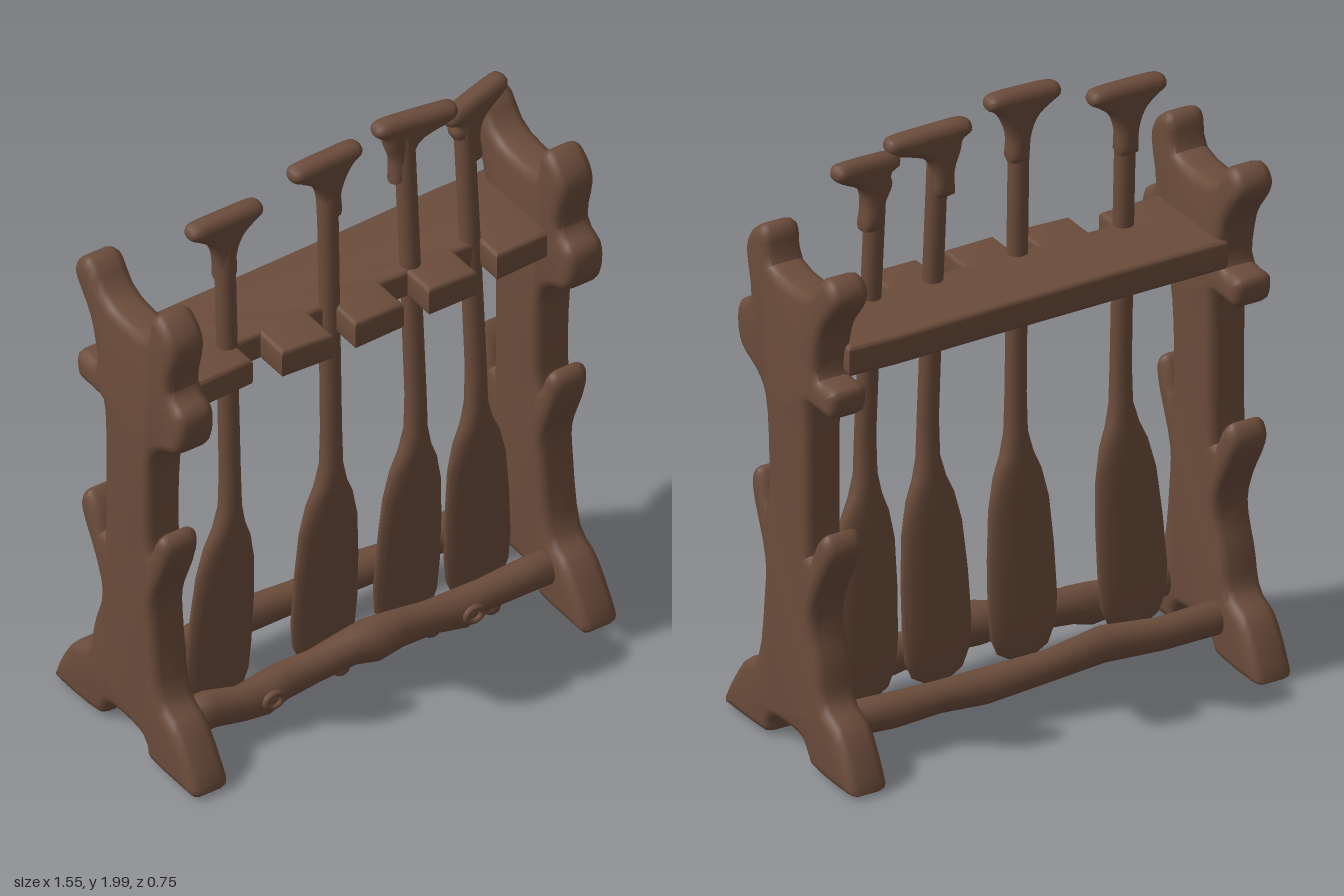
import * as THREE from 'three';
import { toCreasedNormals } from 'three/addons/utils/BufferGeometryUtils.js';

const wood = new THREE.MeshStandardMaterial({ color: 0x6b4c3b });
wood.name = 'brown wood';

function add(parent, geometry, name) {
  const mesh = new THREE.Mesh(geometry, wood);
  mesh.name = name;
  parent.add(mesh);
  return mesh;
}

// Closed outline, extruded with rounded edges and centred on its thickness
function slab(points, thickness, bevel, smooth = true) {
  const v = points.map(([x, y]) => new THREE.Vector2(x, y));
  const shape = new THREE.Shape();
  shape.moveTo(v[0].x, v[0].y);
  if (smooth) shape.splineThru([...v.slice(1), v[0]]);
  else v.slice(1).forEach((p) => shape.lineTo(p.x, p.y));
  const geo = new THREE.ExtrudeGeometry(shape, {
    depth: thickness - 2 * bevel, bevelThickness: bevel, bevelSize: bevel,
    bevelOffset: -bevel, bevelSegments: 3, curveSegments: 3,
  });
  geo.translate(0, 0, bevel - thickness / 2);
  return toCreasedNormals(geo, 0.7);
}

// Elliptical cross-sections [t, a, b, radiusA, radiusB], upright or lying along x
function loft(sections, upright, sides = 16) {
  const pos = [], index = [];
  sections.forEach(([t, a, b, ra, rb], i) => {
    for (let j = 0; j < sides; j++) {
      const w = (j / sides) * Math.PI * 2;
      const p = a + ra * Math.cos(w), q = b + rb * Math.sin(w);
      pos.push(...(upright ? [p, t, q] : [t, q, p]));
      if (i === sections.length - 1) continue;
      const k = (j + 1) % sides, r = i * sides, s = r + sides;
      index.push(r + j, s + j, r + k, s + j, s + k, r + k);
    }
  });
  const geo = new THREE.BufferGeometry();
  geo.setAttribute('position', new THREE.Float32BufferAttribute(pos, 3));
  geo.setIndex(index);
  geo.computeVertexNormals();
  return geo;
}

// Gnarled end post with feet and branch stubs, as seen from its side
const POST = [
  [-0.36, 0.01], [-0.14, 0.015], [-0.11, 0.06], [-0.07, 0.09], [0.07, 0.09], [0.11, 0.05], [0.15, 0.015],
  [0.35, 0.01], [0.37, 0.05], [0.29, 0.19], [0.2, 0.245], [0.17, 0.36], [0.13, 0.49], [0.16, 0.6],
  [0.23, 0.73], [0.235, 0.79], [0.2, 0.825], [0.155, 0.78], [0.115, 0.72], [0.11, 0.95], [0.115, 1.2],
  [0.15, 1.23], [0.24, 1.235], [0.26, 1.29], [0.245, 1.33], [0.16, 1.34], [0.17, 1.44], [0.2, 1.52],
  [0.27, 1.62], [0.25, 1.68], [0.19, 1.69], [0.1, 1.6], [-0.1, 1.6], [-0.13, 1.69], [-0.17, 1.715],
  [-0.23, 1.67], [-0.25, 1.6], [-0.225, 1.46], [-0.29, 1.41], [-0.3, 1.33], [-0.27, 1.26], [-0.18, 1.21],
  [-0.135, 1.14], [-0.12, 0.95], [-0.125, 0.8], [-0.15, 0.85], [-0.18, 0.89], [-0.215, 0.86],
  [-0.205, 0.78], [-0.145, 0.62], [-0.145, 0.5], [-0.18, 0.27], [-0.27, 0.2], [-0.37, 0.05],
];

// Paddle: shaft lean, blade offset and handle outline around the shaft
function paddle({ x, top, topZ, bladeX, tilt = 0, turn = 0, left = 0.13, right = 0.13 }) {
  const group = new THREE.Group();
  group.name = 'paddle';
  const shaftZ = (y) => THREE.MathUtils.lerp(0.1, topZ, Math.max(0, (y - 1) / (top - 1)));
  const rows = [
    [0.07, 0, 0], [0.075, 0.05, 0.015], [0.1, 0.09, 0.024], [0.16, 0.115, 0.028], [0.25, 0.122, 0.03],
    [0.42, 0.118, 0.03], [0.58, 0.107, 0.032], [0.68, 0.085, 0.035], [0.75, 0.056, 0.037],
    [0.82, 0.038, 0.036], [0.95, 0.034, 0.034], [1.4, 0.033, 0.033], [top - 0.06, 0.033, 0.033],
  ];
  add(group, loft(rows.map(([y, rx, rz]) => {
    const drop = THREE.MathUtils.clamp((0.82 - y) / 0.6, 0, 1);
    return [y, x + (bladeX - x) * drop, shaftZ(y) - 0.03 * drop, rx, rz];
  }), true), 'shaftAndBlade');

  const grip = add(group, slab([
    [-0.034, -0.24], [0.034, -0.24], [0.037, -0.16], [0.06, -0.1], [right - 0.03, -0.065],
    [right, -0.045], [right, -0.015], [right - 0.03, 0], [0, 0.002], [0.03 - left, 0],
    [-left, -0.015], [-left, -0.045], [0.03 - left, -0.065], [-0.06, -0.1], [-0.037, -0.16],
  ], 0.072, 0.03), 'handle');
  grip.position.set(x, top, topZ);
  grip.rotation.set(0, turn, tilt);
  return group;
}

export function createModel() {
  const model = new THREE.Group();
  model.name = 'paddleRack';

  // End posts
  for (const side of [-1, 1]) {
    const post = add(model, slab(POST, 0.135, 0.032), side > 0 ? 'leftPost' : 'rightPost');
    post.rotation.y = Math.PI / 2;
    post.position.x = side * 0.71;
  }

  // Upper shelf with slots cut into its front edge
  const front = [[-0.67, 0.2]];
  [[-0.435, -0.345, 0.19, 0.215], [-0.165, -0.085, 0.225, 0.225],
    [0.095, 0.19, 0.22, 0.215], [0.365, 0.455, 0.215, 0.19]].forEach(([a, b, za, zb]) =>
    front.push([a, za], [a, 0.1], [b, 0.1], [b, zb]));
  const shelf = add(model, slab([...front, [0.67, 0.18], [0.67, -0.19], [0.5, -0.195], [0.18, -0.185],
    [-0.3, -0.175], [-0.67, -0.17]], 0.1, 0.015, false), 'shelf');
  shelf.rotation.x = Math.PI / 2;
  shelf.position.y = 1.38;

  // Lower rails: [x, z, y, depth radius, height radius]
  add(model, loft([
    [-0.68, 0.17, 0.15, 0, 0], [-0.68, 0.17, 0.15, 0.055, 0.062], [-0.58, 0.17, 0.15, 0.055, 0.062],
    [-0.47, 0.175, 0.125, 0.05, 0.06], [-0.39, 0.175, 0.125, 0.058, 0.068], [-0.32, 0.17, 0.14, 0.055, 0.06],
    [-0.2, 0.17, 0.145, 0.05, 0.052], [-0.07, 0.17, 0.16, 0.055, 0.058], [0, 0.18, 0.163, 0.068, 0.07],
    [0.1, 0.175, 0.16, 0.055, 0.062], [0.22, 0.17, 0.145, 0.05, 0.055], [0.33, 0.175, 0.135, 0.058, 0.066],
    [0.42, 0.17, 0.145, 0.05, 0.05], [0.55, 0.17, 0.15, 0.052, 0.055], [0.68, 0.17, 0.152, 0.055, 0.058],
    [0.68, 0.17, 0.152, 0, 0]], false), 'frontRail');
  add(model, loft([
    [-0.68, -0.14, 0.15, 0, 0], [-0.68, -0.14, 0.15, 0.052, 0.055], [-0.45, -0.14, 0.145, 0.048, 0.052],
    [-0.25, -0.135, 0.162, 0.052, 0.058], [-0.05, -0.145, 0.145, 0.048, 0.05], [0.18, -0.15, 0.14, 0.06, 0.055],
    [0.33, -0.14, 0.14, 0.05, 0.05], [0.5, -0.15, 0.145, 0.06, 0.055], [0.68, -0.14, 0.15, 0.052, 0.055],
    [0.68, -0.14, 0.15, 0, 0]], false), 'backRail');

  // Knots on the front rail and small stubs beneath it
  for (const [x, y] of [[-0.385, 0.135], [0.345, 0.14]]) {
    const knot = add(model, new THREE.TorusGeometry(0.03, 0.012, 8, 16), 'knot');
    knot.position.set(x, y, 0.228);
    knot.scale.y = 0.8;
  }
  for (const [x, y, z] of [[-0.1, 0.1, 0.16], [0.45, 0.09, 0.16], [0.23, 0.1, 0.16]]) {
    const stub = add(model, new THREE.SphereGeometry(0.035, 12, 8), 'stub');
    stub.position.set(x, y, z);
  }

  // Paddles
  [
    { x: -0.457, top: 1.92, topZ: 0.068, bladeX: -0.482 },
    { x: -0.088, top: 1.99, topZ: 0.078, bladeX: -0.095, tilt: 0.03, left: 0.135, right: 0.115 },
    { x: 0.22, top: 1.97, topZ: 0.035, bladeX: 0.205, tilt: -0.06, turn: -0.08, left: 0.1, right: 0.18 },
    { x: 0.44, top: 1.925, topZ: 0.03, bladeX: 0.465, tilt: 0.13, turn: 0.2, left: 0.08, right: 0.17 },
  ].forEach((spec) => model.add(paddle(spec)));

  return model;
}
